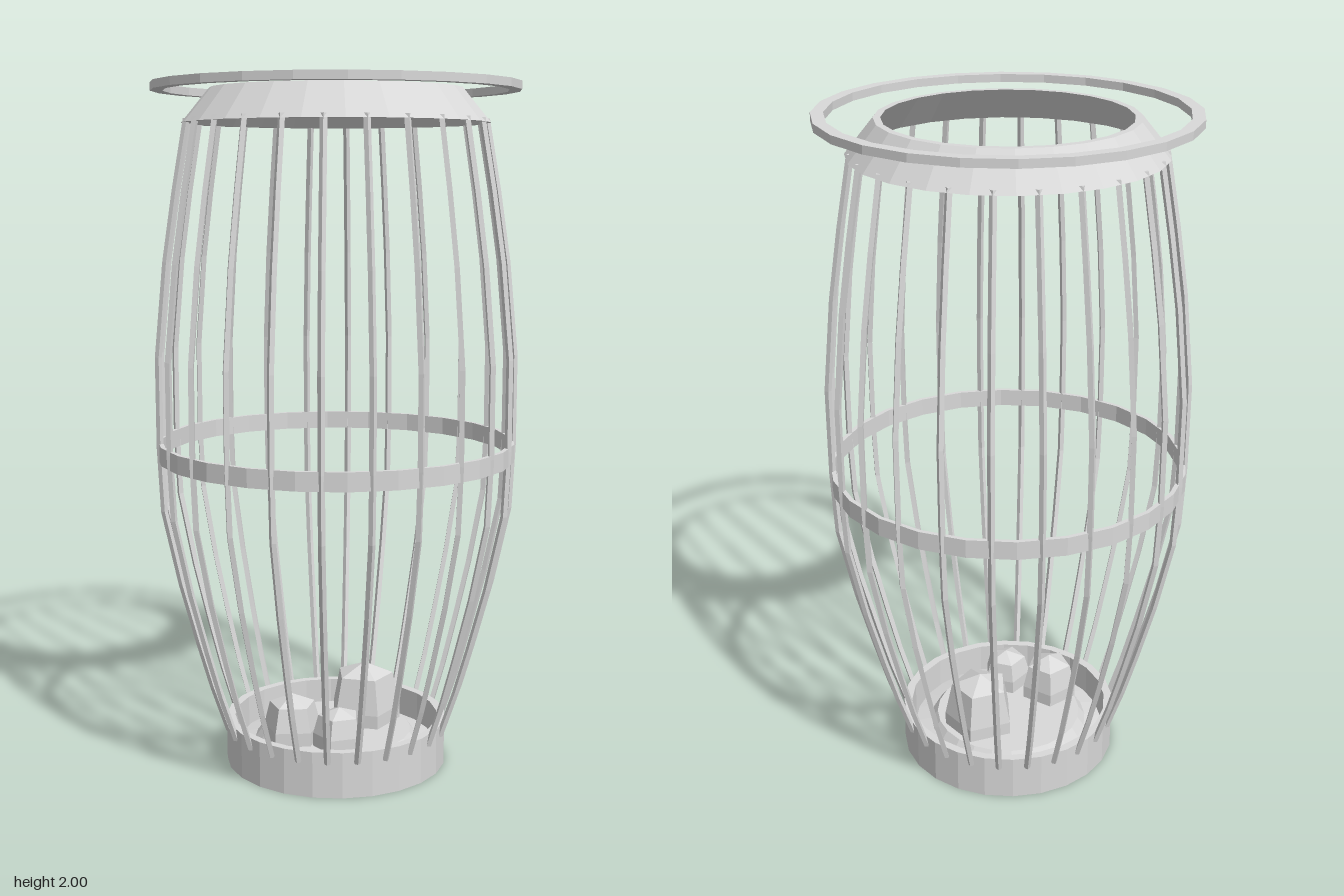
import * as THREE from 'three';

const SIDES = 24;

// Separate the faces so each is shaded flat
const faceted = (geometry) => {
  const flat = geometry.toNonIndexed();
  flat.computeVertexNormals();
  return flat;
};

// Faceted solid of revolution; profile [radius, y] runs counterclockwise
const turned = (profile, sides = SIDES, start = 0) => faceted(
  new THREE.LatheGeometry(profile.map(([r, y]) => new THREE.Vector2(r, y)), sides, start),
);
const band = (inner, outer, bottom, top) => turned([
  [inner, bottom], [outer, bottom], [outer, top], [inner, top], [inner, bottom],
]);

// Four-sided rod whose rings follow a path of [radius, y]
function rod(path, thickness) {
  const steps = path.length - 1;
  const geometry = new THREE.CylinderGeometry(thickness, thickness, steps, 4, steps);
  const position = geometry.attributes.position;
  for (let i = 0; i < position.count; i++) {
    const [r, y] = path[Math.round(position.getY(i) + steps / 2)];
    position.setX(i, position.getX(i) + r);
    position.setY(i, y);
  }
  return faceted(geometry);
}

export function createModel() {
  const model = new THREE.Group();
  model.name = 'cageBrazier';
  const metal = new THREE.MeshStandardMaterial({ color: 0xd9d9d9 });
  metal.name = 'grey metal';

  const add = (name, geometry, parent = model) => {
    const mesh = new THREE.Mesh(geometry, metal);
    mesh.name = name;
    parent.add(mesh);
    return mesh;
  };

  // Base wall, waist hoop and floating top ring
  add('baseWall', band(0.305, 0.33, 0, 0.135));
  add('waistHoop', band(0.51, 0.523, 0.927, 0.98));
  add('topRing', band(0.49, 0.525, 1.977, 2));

  // Sloping collar holding the bar tops
  add('collar', turned([
    [0.42, 1.888], [0.44, 1.888], [0.36, 1.985], [0.34, 1.985], [0.42, 1.888],
  ]));

  // Raised floor pan with a gently sloping flange, just clear of the wall
  add('floorPan', turned([
    [0, 0.075], [0.22, 0.075], [0.24, 0.052], [0.295, 0.042],
    [0.295, 0.052], [0.245, 0.063], [0.225, 0.09], [0, 0.09],
  ]));

  // Bowed cage bars repeated around
  const barGeometry = rod([
    [0.325, 0.1], [0.372, 0.24], [0.412, 0.38], [0.46, 0.56], [0.507, 0.78],
    [0.516, 0.97], [0.516, 1.23], [0.49, 1.5], [0.46, 1.7], [0.425, 1.9],
  ], 0.01);
  const bars = new THREE.Group();
  bars.name = 'cageBars';
  model.add(bars);
  for (let i = 0; i < SIDES; i++) {
    add('cageBar', barGeometry, bars).rotation.y = ((i + 0.5) / SIDES) * Math.PI * 2;
  }

  // Five-sided coals: [x, z, radius, shoulder y, peak y, turn]
  const coals = [
    [0.09, -0.07, 0.11, 0.235, 0.27, Math.PI / 2],
    [-0.135, 0.09, 0.087, 0.2, 0.23, Math.PI],
    [0, 0.157, 0.076, 0.185, 0.208, Math.PI * 1.08],
  ];
  for (const [x, z, r, shoulder, peak, turn] of coals) {
    const profile = [[0, 0.085], [r, 0.085], [r, 0.13], [r * 0.8, shoulder], [0, peak]];
    add('coal', turned(profile, 5, turn)).position.set(x, 0, z);
  }

  return model;
}
